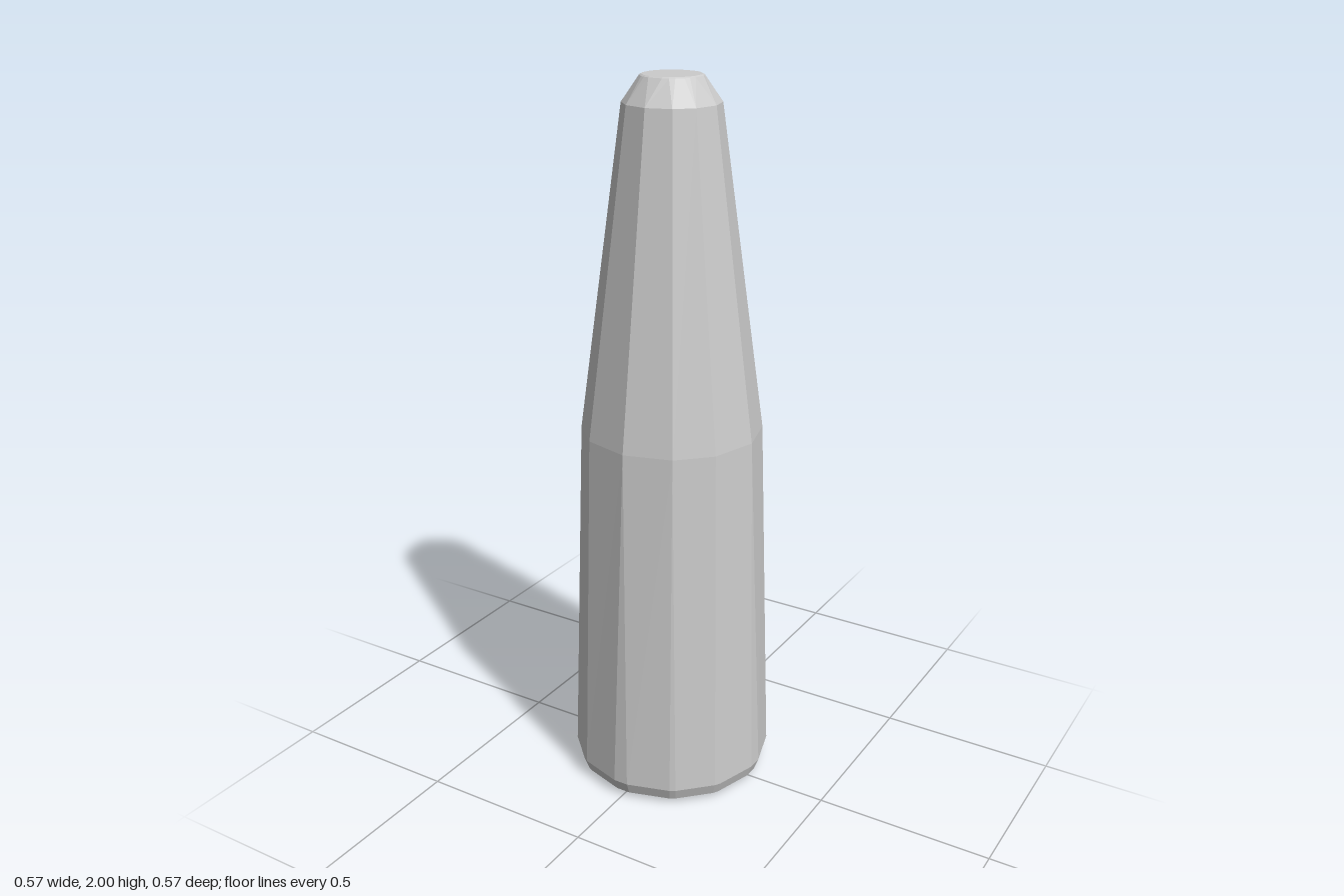
import * as THREE from 'three';

// Corner directions of the twelve-sided body, with the half-width of each corner's bevel (degrees)
const corners = [];
for (let q = 0; q < 4; q++) {
  corners.push([q * 90, 4.3], [q * 90 + 31.5, 1.7], [q * 90 + 58.5, 1.7]);
}

// Cross-sections from bottom to top: radius, height, how far each bevelled corner opens
const sections = [
  [0, 0, 1],
  [0.247, 0, 1],
  [0.272, 0.015, 1],
  [0.285, 0.05, 1],
  [0.25, 1.05, 0],
  [0.13, 1.93, 0],
  [0.083, 1.997, 3.2],
  [0.078, 2, 3.2],
  [0, 2, 3.2],
];

function ring([radius, y, open]) {
  const points = [];
  for (const [angle, half] of corners) {
    for (const side of [-1, 1]) {
      const a = THREE.MathUtils.degToRad(angle + side * half * open);
      points.push(new THREE.Vector3(Math.sin(a) * radius, y, Math.cos(a) * radius));
    }
  }
  return points;
}

function loft(list) {
  const rings = list.map(ring);
  const positions = [];
  const triangle = new THREE.Triangle();
  // Triangles that collapse where a bevel closes to a point are left out
  const add = (a, b, c) => {
    triangle.set(a, b, c);
    if (triangle.getArea() > 1e-8) {
      for (const p of [a, b, c]) positions.push(p.x, p.y, p.z);
    }
  };
  for (let i = 0; i < rings.length - 1; i++) {
    const low = rings[i];
    const high = rings[i + 1];
    for (let j = 0; j < low.length; j++) {
      const k = (j + 1) % low.length;
      add(low[j], low[k], high[k]);
      add(low[j], high[k], high[j]);
    }
  }
  const geometry = new THREE.BufferGeometry();
  geometry.setAttribute('position', new THREE.Float32BufferAttribute(positions, 3));
  geometry.computeVertexNormals();
  return geometry;
}

export function createModel() {
  const group = new THREE.Group();
  group.name = 'taperedPost';
  const material = new THREE.MeshStandardMaterial({ color: 0xcccccc, flatShading: true });

  // Bevelled foot, slightly tapered shaft, narrowing neck and chamfered tip
  const body = new THREE.Mesh(loft(sections), material);
  body.name = 'postBody';
  group.add(body);
  return group;
}
